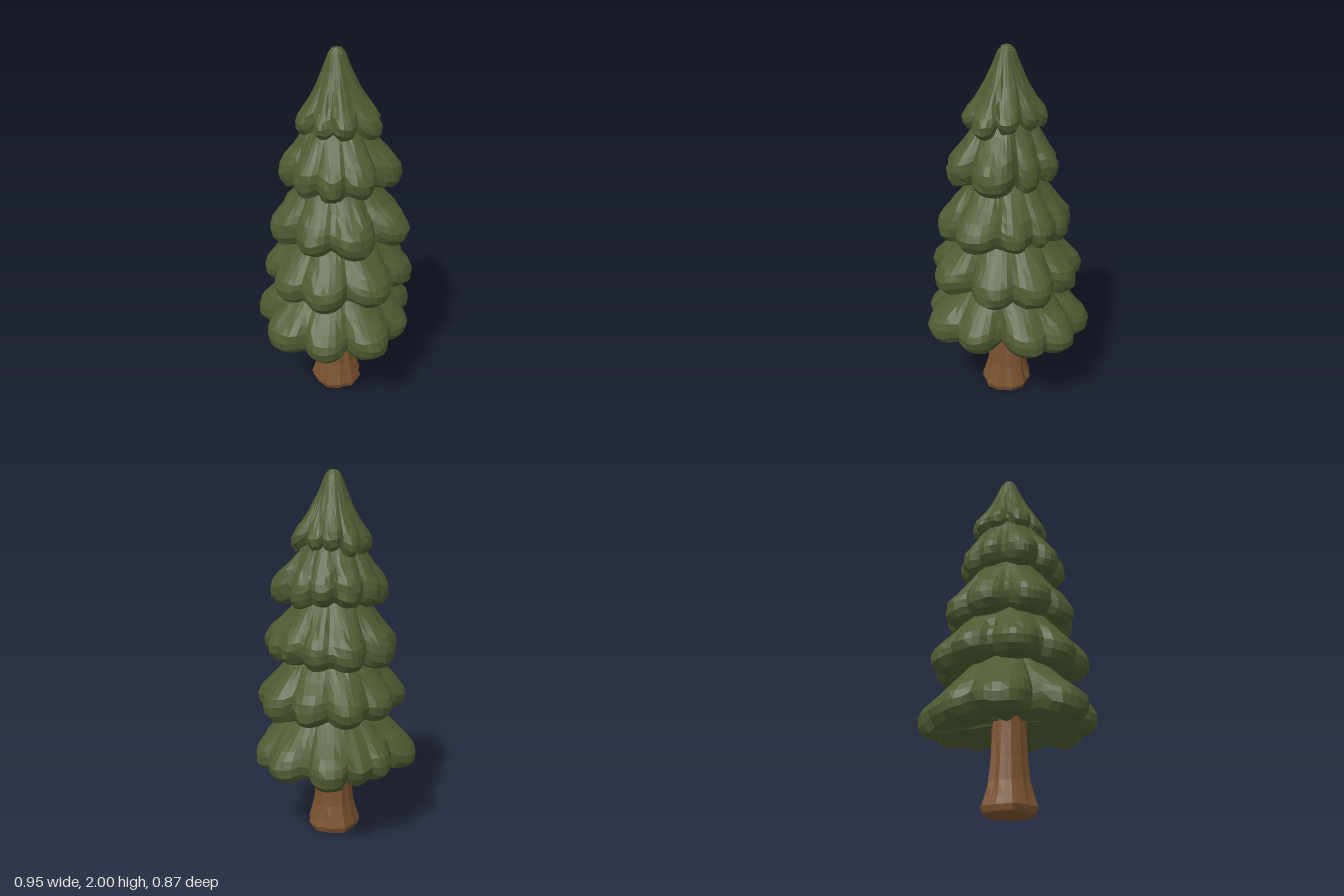
import * as THREE from 'three';

const foliage = new THREE.MeshStandardMaterial({ color: 0x4e5b32, flatShading: true });
foliage.name = 'pine green';
const bark = new THREE.MeshStandardMaterial({ color: 0x7a5230, flatShading: true });
bark.name = 'bark brown';

const rad = (deg) => (deg * Math.PI) / 180;
const mix = (a, b, t) => a + (b - a) * t;

// Small repeatable wobble in -1..1
const wobble = (a, b, c) => {
  const s = Math.sin(a * 12.99 + b * 78.23 + c * 37.72) * 43758.55;
  return (s - Math.floor(s)) * 2 - 1;
};

// Skin of rings from top to bottom; point(ring, angle, segment) gives [radius, y]
function ringSurface(rings, segments, point) {
  const positions = [];
  const index = [];
  for (let i = 0; i < rings; i++) {
    for (let j = 0; j < segments; j++) {
      const a = (j / segments) * Math.PI * 2;
      const [r, y] = point(i, a, j);
      positions.push(r * Math.cos(a), y, r * Math.sin(a));
      if (i === rings - 1) continue;
      const k = (j + 1) % segments;
      const p = i * segments + j, q = i * segments + k;
      index.push(p, q, p + segments, q, q + segments, p + segments);
    }
  }
  const geometry = new THREE.BufferGeometry();
  geometry.setAttribute('position', new THREE.Float32BufferAttribute(positions, 3));
  geometry.setIndex(index);
  geometry.computeVertexNormals();
  return geometry;
}

// Tiers from the ground up; each lobe is [direction in degrees (0 = +x, 90 = +z), reach]
const tiers = [
  { bottom: 0.385, top: 0.86, core: 0.13, lobes: [
    [0, 0.475], [27, 0.455], [75, 0.425], [111, 0.47], [149, 0.455],
    [186, 0.475], [242, 0.47], [281, 0.425], [301, 0.43], [324, 0.475]] },
  { bottom: 0.685, top: 1.16, core: 0.12, lobes: [
    [20, 0.42], [57, 0.42], [106, 0.43], [150, 0.43], [186, 0.415],
    [228, 0.4], [275, 0.395], [309, 0.42], [342, 0.41]] },
  { bottom: 0.98, top: 1.43, core: 0.11, lobes: [
    [8, 0.345], [38, 0.36], [74, 0.415], [121, 0.38], [163, 0.36],
    [210, 0.37], [262, 0.36], [306, 0.36], [337, 0.35]] },
  { bottom: 1.285, top: 1.73, core: 0.08, lobes: [
    [14, 0.26], [62, 0.345], [112, 0.33], [144, 0.32], [176, 0.31],
    [219, 0.31], [262, 0.275], [300, 0.275], [335, 0.28]] },
  { bottom: 1.565, top: 2, core: 0, lobes: [
    [355, 0.195], [45, 0.22], [80, 0.25], [126, 0.23], [163, 0.205],
    [212, 0.215], [260, 0.205], [291, 0.22], [324, 0.215]] },
];

// Cross-section of a bough: [fraction of reach, fraction of height], rim at number 6 or 7
const boughProfile = [
  [0, 1], [0.24, 0.82], [0.46, 0.65], [0.66, 0.5], [0.84, 0.38], [0.95, 0.29], [1, 0.2],
  [0.98, 0.1], [0.9, 0.02], [0.74, 0], [0.5, 0.07], [0.1, 0.14],
];
const crownProfile = [
  [0, 1], [0.12, 0.985], [0.22, 0.92], [0.36, 0.74], [0.54, 0.54], [0.74, 0.36], [0.93, 0.23],
  [1, 0.14], [0.98, 0.06], [0.86, 0], [0.62, 0.05], [0.1, 0.12],
];

// Each lobe is a circle wide enough to overlap its neighbours
function makeLobes(lobes, seed) {
  const count = lobes.length;
  return lobes.map(([deg, far], i) => {
    const before = lobes[(i + count - 1) % count][0], after = lobes[(i + 1) % count][0];
    const gap = (after - before + 360) % 360;
    const spread = 1.2 * Math.sin(rad(gap / 4));
    return {
      angle: rad(deg), far,
      size: (far * spread) / (1 + spread),
      lift: 0.014 + 0.016 * wobble(i, seed, 9),
    };
  });
}

// Outline of the overlapping circles, with the lift of the nearest lobe
function rim(lobes, floor, a) {
  let reach = floor, full = 0.72, lift = 0, nearest = -2;
  for (const lobe of lobes) {
    const c = Math.cos(a - lobe.angle);
    const d = lobe.far - lobe.size;
    const inside = lobe.size ** 2 - d * d * (1 - c * c);
    if (c > nearest) {
      nearest = c;
      lift = lobe.lift;
    }
    if (c < 0 || inside < 0) continue;
    const r = d * c + Math.sqrt(inside);
    if (r > reach) {
      reach = r;
      full = r / lobe.far;
    }
  }
  return { reach, lift, crease: Math.min(1, (1 - full) / 0.25) };
}

function tierGeometry(tier, seed) {
  const profile = tier.core ? boughProfile : crownProfile;
  const lobes = makeLobes(tier.lobes, seed);
  const mean = lobes.reduce((sum, lobe) => sum + lobe.far, 0) / lobes.length;
  return ringSurface(profile.length, 72, (i, a, j) => {
    const [f, h] = profile[i];
    const { reach, lift, crease } = rim(lobes, mean * 0.74, a);
    const low = tier.bottom + lift + crease * 0.05;
    // The underside closes in on the trunk; creases fade out towards the top
    const inner = i > 7 ? 0.03 : tier.core;
    const outer = mix(mean * 0.94, reach * (1 - 0.03 * crease), Math.min(1, f * 1.15));
    const n = 0.006 * f;
    return [
      mix(inner, outer, f) + n * wobble(seed, i, j >> 1),
      mix(low, tier.top, h) + n * wobble(i, seed, j >> 1),
    ];
  });
}

// Flared trunk with uneven bark ridges
function trunkGeometry() {
  const profile = [
    [0.085, 0.62], [0.09, 0.42], [0.096, 0.28], [0.108, 0.16], [0.128, 0.08],
    [0.14, 0.04], [0.132, 0.01], [0.118, 0], [0, 0],
  ];
  return ringSurface(profile.length, 22, (i, a, j) => {
    const [r, y] = profile[i];
    const ridge = 0.03 * (j % 2 ? -1 : 1) + 0.04 * Math.sin(5 * a + 0.8) + 0.03 * wobble(j, 3, i >> 1);
    return [r * (1 + ridge), y];
  });
}

export function createModel() {
  const tree = new THREE.Group();
  tree.name = 'pineTree';

  const trunk = new THREE.Mesh(trunkGeometry(), bark);
  trunk.name = 'trunk';
  tree.add(trunk);

  tiers.forEach((tier, i) => {
    const mesh = new THREE.Mesh(tierGeometry(tier, i + 1), foliage);
    mesh.name = i === tiers.length - 1 ? 'crown' : `boughTier${i + 1}`;
    tree.add(mesh);
  });
  return tree;
}
